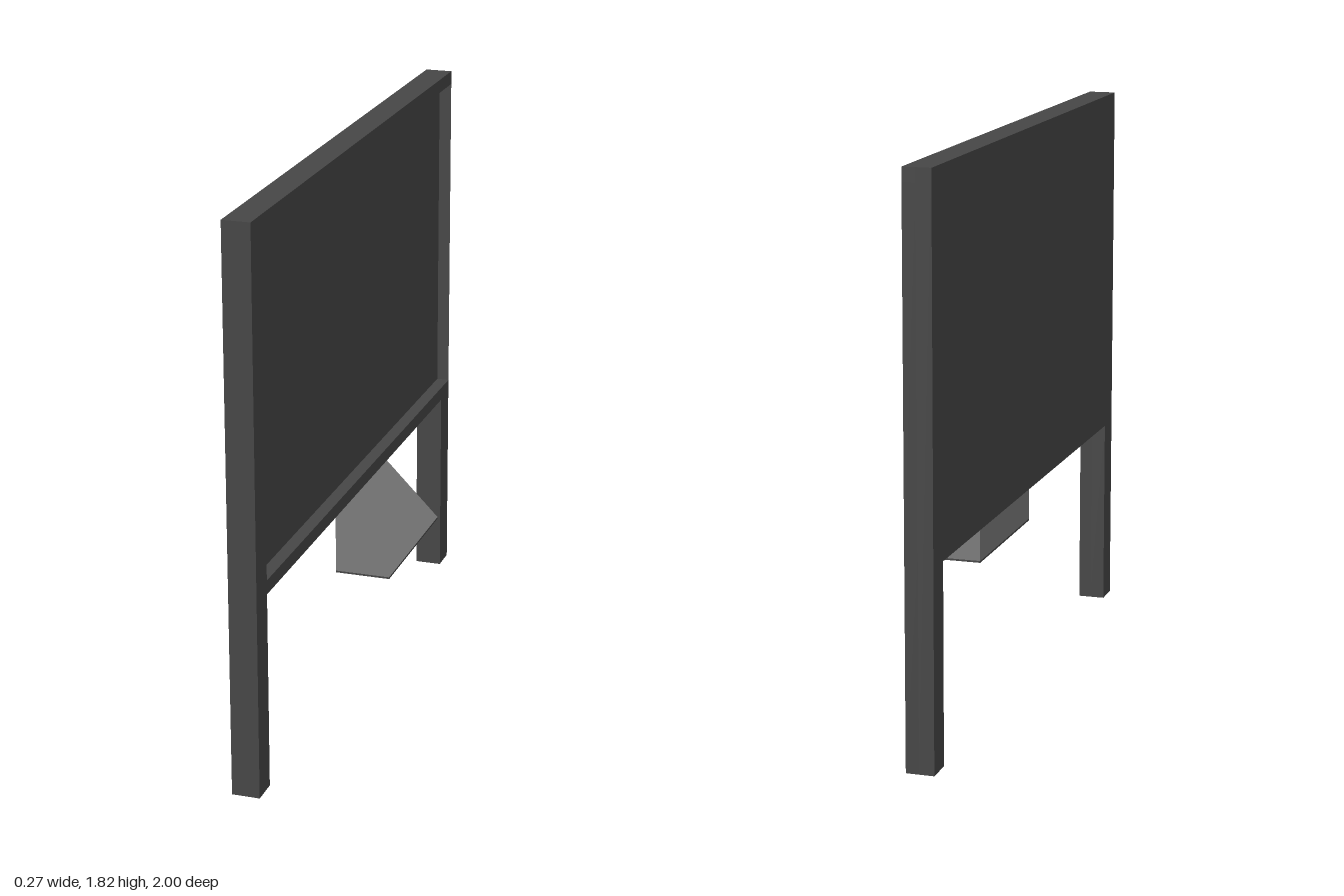
import * as THREE from 'three';

const BACK = -0.135, RECESS = -0.087, FRONT = -0.045; // x of the board's layers
const BOTTOM = 0.64, TOP = 1.82, INNER = 0.91, EDGE = 0.045;

// Extrude a side profile (u = -z, y) along x, from x0 to x1
function extrudeX(points, x0, x1) {
  const shape = new THREE.Shape(points.map(([u, y]) => new THREE.Vector2(u, y)));
  const geo = new THREE.ExtrudeGeometry(shape, { depth: x1 - x0, bevelEnabled: false });
  return geo.rotateY(Math.PI / 2).translate(x0, 0, 0);
}

export function createModel() {
  const group = new THREE.Group();
  const frameMat = new THREE.MeshStandardMaterial({ color: 0x464646, side: THREE.DoubleSide });
  frameMat.name = 'dark grey';
  const wedgeMat = new THREE.MeshStandardMaterial({ color: 0x7b7b7b });
  wedgeMat.name = 'mid grey';

  const add = (name, geo, mat) => {
    const mesh = new THREE.Mesh(geo, mat);
    mesh.name = name;
    group.add(mesh);
    return mesh;
  };

  // Underside outline shared by both layers: two legs with a gap between
  const legs = [[-1, 0], [-INNER, 0], [-INNER, BOTTOM], [INNER, BOTTOM], [INNER, 0], [1, 0]];

  // Back layer: solid panel with legs
  add('panel', extrudeX([...legs, [1, TOP], [-1, TOP]], BACK, RECESS), frameMat);

  // Front layer: raised frame, whose recess runs out to the far edge
  add('frame', extrudeX([
    ...legs,
    [1, BOTTOM + EDGE], [-INNER, BOTTOM + EDGE],
    [-INNER, TOP - EDGE], [1, TOP - EDGE],
    [1, TOP], [-1, TOP],
  ], RECESS, FRONT), frameMat);

  // Thin wall closing the recess at the far edge
  const wall = add('recessWall',
    new THREE.PlaneGeometry(FRONT - RECESS, TOP - BOTTOM - 2 * EDGE), frameMat);
  wall.rotation.y = Math.PI;
  wall.position.set((FRONT + RECESS) / 2, (TOP + BOTTOM) / 2, -1);

  // Wedge under the panel, sloping down and outwards
  const wedgeShape = new THREE.Shape([
    new THREE.Vector2(FRONT, 0.456), new THREE.Vector2(0.135, 0.456),
    new THREE.Vector2(FRONT, BOTTOM),
  ]);
  const wedge = new THREE.ExtrudeGeometry(wedgeShape, { depth: 0.54, bevelEnabled: false });
  add('wedge', wedge.translate(0, 0, -0.27), wedgeMat);

  // Thin dark base of the wedge
  const base = add('wedgeBase', new THREE.BoxGeometry(0.135 - FRONT, 0.006, 0.54), frameMat);
  base.position.set((0.135 + FRONT) / 2, 0.453, 0);

  return group;
}
